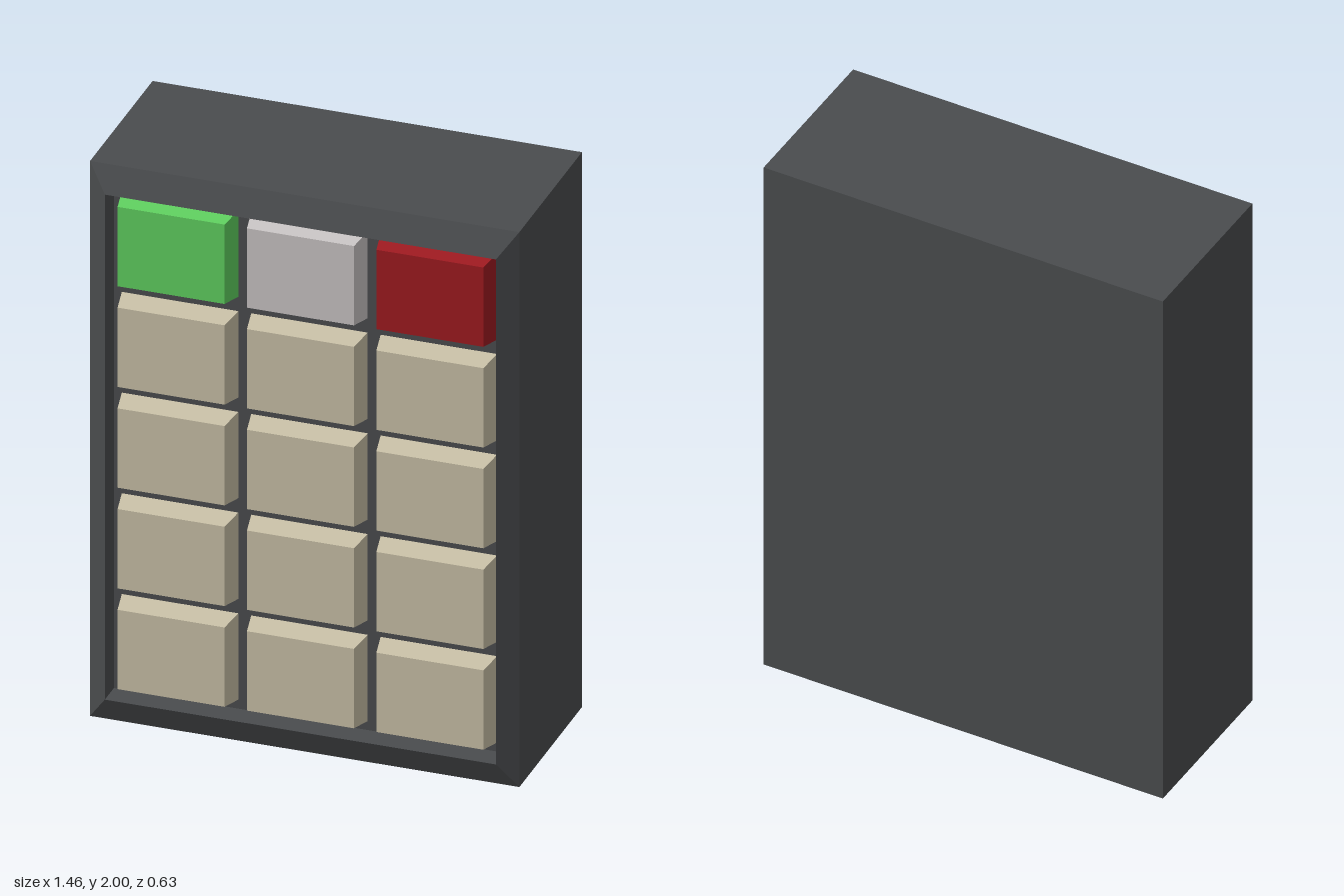
import * as THREE from 'three';

// Closed solid from rectangular rings [halfWidth, halfHeight, z], capped at both ends
function rectLoft(rings) {
  const corners = [[-1, -1], [1, -1], [1, 1], [-1, 1]];
  const loops = rings.map(([w, h, z]) => corners.map(([sx, sy]) => [sx * w, sy * h, z]));
  const pos = [];
  const quad = (a, b, c, d) => pos.push(...a, ...b, ...c, ...a, ...c, ...d);
  for (let i = 0; i < loops.length - 1; i++) {
    for (let k = 0; k < 4; k++) {
      const n = (k + 1) % 4;
      quad(loops[i][k], loops[i][n], loops[i + 1][n], loops[i + 1][k]);
    }
  }
  const back = loops[0], front = loops[loops.length - 1];
  quad(back[3], back[2], back[1], back[0]);
  quad(...front);
  const geometry = new THREE.BufferGeometry();
  geometry.setAttribute('position', new THREE.Float32BufferAttribute(pos, 3));
  geometry.computeVertexNormals();
  return geometry;
}

const material = (color) => new THREE.MeshStandardMaterial({ color, flatShading: true });

export function createModel() {
  const group = new THREE.Group();
  group.name = 'keypad';

  const FRONT = 0.316, FLOOR = 0.23;

  // Case: straight body, bevelled rim, then a recess down to its floor
  const housing = new THREE.Mesh(rectLoft([
    [0.73, 1, -FRONT],
    [0.73, 1, 0.275],
    [0.665, 0.91, FRONT],
    [0.665, 0.91, FLOOR],
  ]), material(0x4a4c4e));
  housing.name = 'housing';
  housing.position.y = 1;
  group.add(housing);

  // Keys: tapered blocks in a 3 x 5 grid, with a coloured top row
  const keyGeometry = rectLoft([[0.2, 0.157, FLOOR - 0.01], [0.182, 0.143, FRONT - 0.001]]);
  const beige = material(0xc9c0a7);
  const topRow = [material(0x5fcf5f), material(0xc9c4c4), material(0x9e1a20)];
  const topNames = ['greenKey', 'greyKey', 'redKey'];
  for (let row = 0; row < 5; row++) {
    for (let col = 0; col < 3; col++) {
      const key = new THREE.Mesh(keyGeometry, row === 0 ? topRow[col] : beige);
      key.name = row === 0 ? topNames[col] : `keyRow${row}Column${col + 1}`;
      key.position.set((col - 1) * 0.44, 1.73 - row * 0.363, 0);
      group.add(key);
    }
  }
  return group;
}
